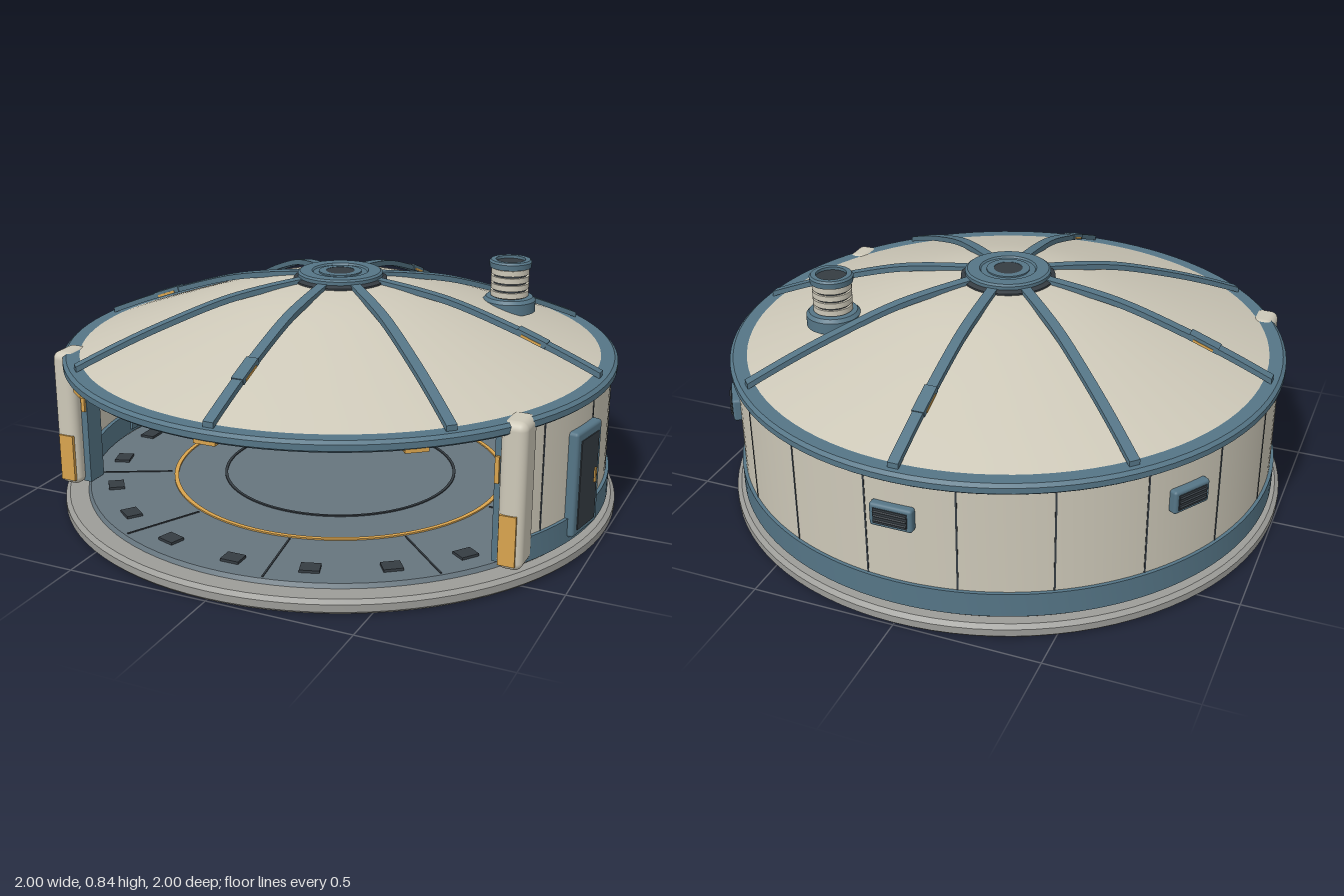
import * as THREE from 'three';
import { toCreasedNormals } from 'three/addons/utils/BufferGeometryUtils.js';
import { RoundedBoxGeometry } from 'three/addons/geometries/RoundedBoxGeometry.js';

const mat = (color) => new THREE.MeshStandardMaterial({ color, side: THREE.DoubleSide });
const CREAM = mat(0xcdc8b8), BLUE = mat(0x557586), GOLD = mat(0xd9a44e);
const DARK = mat(0x353c42), STONE = mat(0x9c9c98), FLOOR = mat(0x66757e);
const rad = THREE.MathUtils.degToRad;
const OPEN = 60; // half angle of the front opening, measured from +z

function add(parent, name, geometry, material, x = 0, y = 0, z = 0) {
  const mesh = new THREE.Mesh(geometry, material);
  mesh.name = name;
  mesh.position.set(x, y, z);
  parent.add(mesh);
  return mesh;
}

// Group on a circle, its local +z pointing outward
function radial(parent, name, degrees, r = 0, y = 0) {
  const g = new THREE.Group(), a = rad(degrees);
  g.name = name;
  g.position.set(r * Math.sin(a), y, r * Math.cos(a));
  g.rotation.y = a;
  parent.add(g);
  return g;
}

function lathe(points, from = 0, to = 360, segments = 96) {
  const pts = points.map(([r, y]) => new THREE.Vector2(r, y));
  return toCreasedNormals(new THREE.LatheGeometry(pts, segments, rad(from), rad(to - from)), 0.5);
}

// Rectangular section swept round the axis
const band = (r0, r1, y0, y1, from, to) =>
  lathe([[r0, y0], [r1, y0], [r1, y1], [r0, y1], [r0, y0]], from, to);

const box = (w, h, d) => new THREE.BoxGeometry(w, h, d);

function buildBase(model) {
  add(model, 'foundation', lathe([[0, 0.005], [0.99, 0.005], [1, 0.015], [1, 0.04], [0.985, 0.052], [0, 0.052]]), STONE);
  add(model, 'floor', lathe([[0.92, 0.05], [0.91, 0.066], [0, 0.066]]), FLOOR);
  add(model, 'floorOuterRing', band(0.595, 0.61, 0.06, 0.071), GOLD);
  add(model, 'floorInnerRing', band(0.415, 0.425, 0.06, 0.07), DARK);
  for (let a = 0; a < 360; a += 18) {
    const g = radial(model, 'floorPad', a, 0.82, 0.069);
    add(g, 'pad', box(0.065, 0.012, 0.055), DARK);
    if (a % 36 === 0) {
      const s = radial(model, 'floorSeam', a + 9, 0.76, 0.067);
      add(s, 'seam', box(0.006, 0.004, 0.28), DARK);
    }
  }
}

function buildWall(model) {
  add(model, 'wall', band(0.92, 0.96, 0.06, 0.54, OPEN, 360 - OPEN), CREAM);
  add(model, 'wallSkirt', band(0.905, 0.972, 0.07, 0.155, OPEN, 360 - OPEN), BLUE);
  for (let a = 66; a <= 294; a += 18) {
    const g = radial(model, 'panelSeam', a, 0.959, 0.34);
    add(g, 'seam', box(0.006, 0.37, 0.005), DARK);
  }
  // Inner posts with clips
  for (let a = 90; a <= 270; a += 30) {
    const g = radial(model, 'innerPost', a, 0.91, 0.3);
    add(g, 'post', box(0.035, 0.43, 0.03), BLUE);
    add(g, 'clip', box(0.055, 0.014, 0.04), GOLD, 0, -0.09, -0.002);
  }
  for (const a of [123, 180, 237]) {
    const g = radial(model, 'vent', a, 0.968, 0.4);
    add(g, 'ventFrame', new RoundedBoxGeometry(0.145, 0.082, 0.034, 2, 0.01), BLUE);
    add(g, 'ventOpening', box(0.115, 0.054, 0.006), DARK, 0, 0, 0.017);
    for (let i = -1; i <= 1; i++) add(g, 'slat', box(0.11, 0.006, 0.008), DARK, 0, i * 0.016, 0.02).rotation.x = 0.5;
  }
  // Side door on the left
  const door = radial(model, 'sideDoor', 79.3, 0.965, 0.27);
  add(door, 'doorFrame', new RoundedBoxGeometry(0.18, 0.365, 0.045, 2, 0.012), BLUE);
  add(door, 'doorPanel', box(0.125, 0.31, 0.008), DARK, 0, -0.005, 0.022);
  add(door, 'doorHandle', box(0.01, 0.05, 0.01), GOLD, 0.045, 0, 0.026);
}

function buildJambs(model) {
  for (const s of [-1, 1]) {
    const g = new THREE.Group();
    g.name = s > 0 ? 'leftJamb' : 'rightJamb';
    model.add(g);
    add(g, 'post', new RoundedBoxGeometry(0.085, 0.495, 0.125, 4, 0.028), CREAM, s * 0.822, 0.317, 0.485);
    add(g, 'lampPanel', box(0.056, 0.17, 0.012), GOLD, s * 0.818, 0.175, 0.548);
    add(g, 'innerTrack', box(0.03, 0.45, 0.08), BLUE, s * 0.77, 0.3, 0.465);
    add(g, 'trackLamp', box(0.014, 0.09, 0.05), GOLD, s * 0.765, 0.39, 0.49);
  }
}

function buildRoof(model) {
  add(model, 'eaveRing', lathe([[0.915, 0.522], [0.97, 0.522], [0.98, 0.53], [0.98, 0.55], [0.968, 0.56], [0.915, 0.56], [0.915, 0.522]]), BLUE);
  const dome = new THREE.SplineCurve([[0.94, 0.553], [0.75, 0.622], [0.5, 0.708], [0.3, 0.768], [0.14, 0.795], [0.001, 0.8]]
    .map(([r, y]) => new THREE.Vector2(r, y)));
  add(model, 'dome', new THREE.LatheGeometry(dome.getPoints(20), 96), CREAM);
  for (const a of [-38, 0, 38]) {
    const g = radial(model, 'eaveLamp', a, 0.953, 0.522);
    add(g, 'lamp', box(0.075, 0.016, 0.045), GOLD);
  }

  // Curved ribs standing slightly clear of the dome
  const curve = new THREE.SplineCurve([[0.95, 0.578], [0.8, 0.64], [0.65, 0.695], [0.45, 0.758], [0.3, 0.788], [0.13, 0.81]]
    .map(([r, y]) => new THREE.Vector2(r, y)));
  const top = curve.getPoints(20);
  const low = top.map((p) => new THREE.Vector2(p.x, p.y - 0.02)).reverse();
  const ribGeometry = new THREE.ExtrudeGeometry(new THREE.Shape([...top, ...low]), { depth: 0.036, bevelEnabled: false });
  ribGeometry.translate(0, 0, -0.018).rotateY(-Math.PI / 2);
  for (let a = 0; a < 360; a += 45) {
    const g = radial(model, 'roofRib', a);
    add(g, 'rib', ribGeometry, BLUE);
    if (a % 90 === 0) {
      add(g, 'ribBracket', box(0.042, 0.022, 0.11), BLUE, 0, 0.666, 0.71).rotation.x = 0.36;
      add(g, 'ribLamp', box(0.046, 0.008, 0.075), GOLD, 0, 0.661, 0.71).rotation.x = 0.36;
    }
  }

  // Crown hub
  add(model, 'hubCollar', lathe([[0.165, 0.775], [0.165, 0.798], [0.15, 0.806], [0, 0.806]]), DARK);
  add(model, 'hubRing', lathe([[0.15, 0.795], [0.15, 0.818], [0.142, 0.824], [0.1, 0.824], [0.095, 0.818], [0, 0.818]]), BLUE);
  add(model, 'hubInnerRing', band(0.05, 0.075, 0.81, 0.823), BLUE);
  add(model, 'hubCap', new THREE.CylinderGeometry(0.05, 0.05, 0.012, 40), DARK, 0, 0.816, 0);
}

function buildChimney(model) {
  const g = new THREE.Group();
  g.name = 'chimney';
  g.position.set(0.525, 0, -0.315);
  model.add(g);
  add(g, 'flange', lathe([[0.094, 0.66], [0.094, 0.7], [0.084, 0.712], [0, 0.712]], 0, 360, 40), BLUE);
  add(g, 'pipe', new THREE.CylinderGeometry(0.06, 0.06, 0.14, 40), DARK, 0, 0.755, 0);
  for (let i = 0; i < 4; i++)
    add(g, 'pipeBand', new THREE.CylinderGeometry(0.068, 0.068, 0.02, 40), CREAM, 0, 0.726 + i * 0.027, 0);
  add(g, 'capRing', lathe([[0.053, 0.815], [0.074, 0.82], [0.076, 0.84], [0.07, 0.847], [0.053, 0.847], [0.053, 0.815]], 0, 360, 40), BLUE);
  add(g, 'flue', new THREE.CylinderGeometry(0.054, 0.054, 0.01, 40), DARK, 0, 0.832, 0);
}

export function createModel() {
  const model = new THREE.Group();
  model.name = 'domedHall';
  buildBase(model);
  buildWall(model);
  buildJambs(model);
  buildRoof(model);
  buildChimney(model);
  return model;
}
